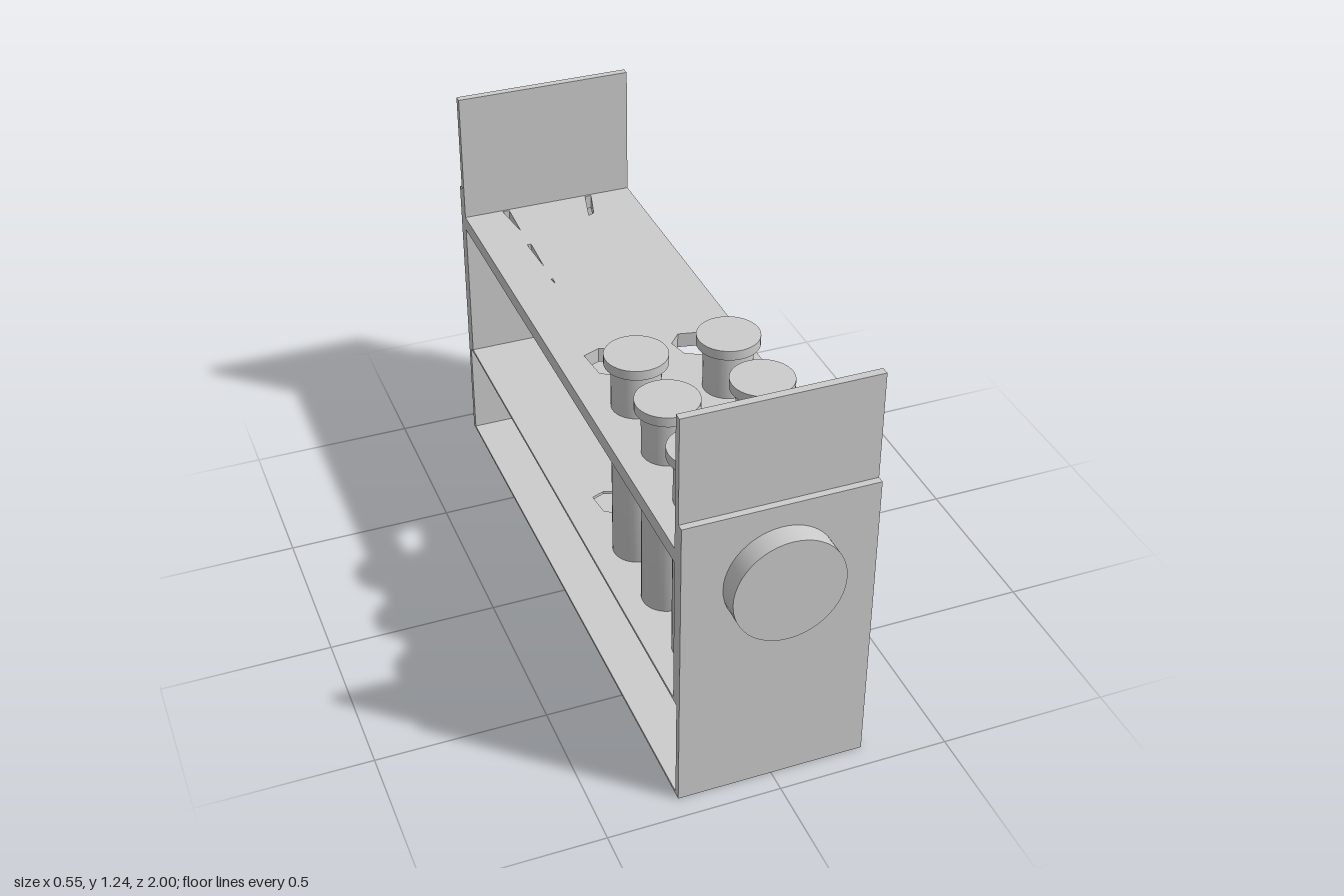
import * as THREE from 'three';
import { toCreasedNormals } from 'three/addons/utils/BufferGeometryUtils.js';

const HALF_WIDTH = 0.273;

export function createModel() {
  const rack = new THREE.Group();
  rack.name = 'testTubeRack';
  const material = new THREE.MeshStandardMaterial({ color: 0xcccccc });

  function add(name, geometry, parent = rack) {
    const mesh = new THREE.Mesh(geometry, material);
    mesh.name = name;
    parent.add(mesh);
    return mesh;
  }

  // Full-width box given by its y and z ranges
  function slab(name, y0, y1, z0, z1, parent) {
    const mesh = add(name, new THREE.BoxGeometry(HALF_WIDTH * 2, y1 - y0, z1 - z0), parent);
    mesh.position.set(0, (y0 + y1) / 2, (z0 + z1) / 2);
  }

  // Horizontal board with cut-outs, outlines given as [x, z]
  function shelf(name, bottom, top, halfLength, outlines) {
    const w = HALF_WIDTH;
    const shape = new THREE.Shape([[-w, -halfLength], [w, -halfLength], [w, halfLength], [-w, halfLength]]
      .map(([x, z]) => new THREE.Vector2(x, z)));
    for (const outline of outlines) {
      shape.holes.push(new THREE.Path(outline.map(([x, z]) => new THREE.Vector2(x, z))));
    }
    const geometry = new THREE.ExtrudeGeometry(shape, { depth: top - bottom, bevelEnabled: false });
    geometry.rotateX(Math.PI / 2);
    add(name, geometry).position.y = top;
  }

  // Irregular openings and narrow slits in the boards
  const openings = [
    [[-0.19, -0.01], [-0.14, -0.03], [-0.09, -0.015], [-0.08, 0], [-0.095, 0.1], [-0.14, 0.115], [-0.18, 0.09]],
    [[0.065, 0.02], [0.1, -0.02], [0.19, 0], [0.135, 0.11], [0.08, 0.08]],
  ];
  const slits = [
    [[-0.152, -0.885], [-0.13, -0.885], [-0.136, -0.75]],
    [[-0.145, -0.66], [-0.132, -0.66], [-0.138, -0.52]],
    [[-0.142, -0.44], [-0.136, -0.44], [-0.139, -0.41]],
    [[0.125, -0.885], [0.145, -0.885], [0.115, -0.775], [0.095, -0.765]],
  ];
  // The lower openings are smaller
  const smallOpenings = openings.map((outline, i) =>
    outline.map(([x, z]) => [(i ? 0.13 : -0.138) + (x - (i ? 0.13 : -0.138)) * 0.75, 0.045 + (z - 0.045) * 0.75]));

  shelf('upperShelf', 0.785, 0.83, 0.9, [...openings, ...slits]);
  shelf('lowerShelf', 0.323, 0.332, 0.915, smallOpenings);
  slab('floor', 0, 0.009, -0.925, 0.925);

  // End walls: outer panel, raised inner panel and round knob
  for (const [name, turn] of [['frontEnd', 0], ['backEnd', Math.PI]]) {
    const end = new THREE.Group();
    end.name = name;
    end.rotation.y = turn;
    rack.add(end);
    slab('outerPanel', 0, 0.92, 0.915, 0.935, end);
    slab('innerPanel', 0.33, 1.237, 0.892, 0.915, end);
    const knob = add('knob', new THREE.CylinderGeometry(0.158, 0.158, 0.08, 48), end);
    knob.rotation.x = Math.PI / 2;
    knob.position.set(0, 0.695, 0.96);
  }

  // Stoppered tubes in two rows of three
  const profile = [[0, 0.225], [0.05, 0.225], [0.064, 0.232], [0.07, 0.245], [0.07, 0.968],
    [0.089, 0.968], [0.089, 0.997], [0, 0.997]].map(([r, y]) => new THREE.Vector2(r, y));
  const tubeGeometry = toCreasedNormals(new THREE.LatheGeometry(profile, 40), 0.6);
  for (const x of [-0.138, 0.132]) {
    for (const z of [0.27, 0.5, 0.728]) {
      add('testTube', tubeGeometry).position.set(x, 0, z);
    }
  }
  return rack;
}
